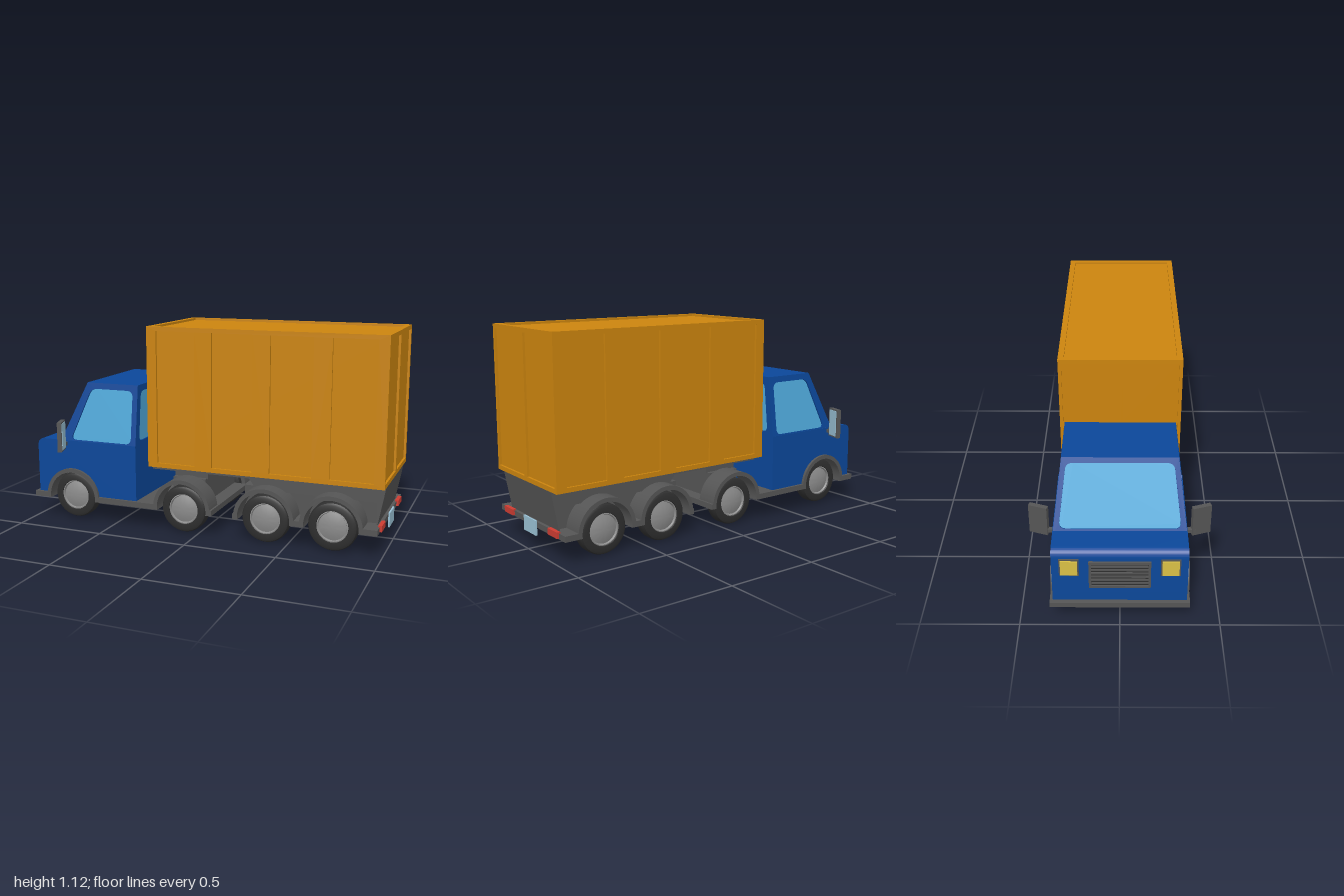
import * as THREE from 'three';
import { toCreasedNormals } from 'three/addons/utils/BufferGeometryUtils.js';

const mat = (name, color) => {
  const m = new THREE.MeshStandardMaterial({ color });
  m.name = name;
  return m;
};
const M = {
  blue: mat('cab blue', 0x0b4799),
  orange: mat('container orange', 0xcb840e),
  glass: mat('window glass', 0x4fa9da),
  grey: mat('chassis grey', 0x555555),
  tyre: mat('tyre black', 0x2e2e2e),
  hub: mat('hub silver', 0x8c8c8c),
  yellow: mat('headlight yellow', 0xd9bf45),
  red: mat('tail light red', 0xcc3c32),
  pale: mat('pale plate', 0x98bfd2),
};
const V = (x, y, z) => new THREE.Vector3(x, y, z);

function add(parent, name, geo, material, x = 0, y = 0, z = 0) {
  const m = new THREE.Mesh(geo, material);
  m.name = name;
  m.position.set(x, y, z);
  parent.add(m);
  return m;
}

// Box given by its min and max corners
function block(parent, name, material, x0, x1, y0, y1, z0, z1) {
  return add(parent, name, new THREE.BoxGeometry(x1 - x0, y1 - y0, z1 - z0), material,
    (x0 + x1) / 2, (y0 + y1) / 2, (z0 + z1) / 2);
}

// Profile in x-y, extruded from z0 to z1
function extrudeZ(parent, name, shape, material, z0, z1) {
  const g = new THREE.ExtrudeGeometry(shape, { depth: z1 - z0, bevelEnabled: false, curveSegments: 24 });
  return add(parent, name, toCreasedNormals(g, 0.5), material, 0, 0, z0);
}

// Closed polygon with rounded corners
function rounded(path, pts, r) {
  pts.forEach((p, i) => {
    const prev = pts[(i + pts.length - 1) % pts.length], next = pts[(i + 1) % pts.length];
    const a = p.clone().add(prev.clone().sub(p).setLength(r));
    const b = p.clone().add(next.clone().sub(p).setLength(r));
    if (i) path.lineTo(a.x, a.y); else path.moveTo(a.x, a.y);
    path.quadraticCurveTo(p.x, p.y, b.x, b.y);
  });
  path.closePath();
  return path;
}

// Flat wall on four corners (counter-clockwise from outside) with recessed openings
function wall(parent, name, corners, openings, depth, r, material, paneMaterial) {
  const [p0, p1, , p3] = corners;
  const u = p1.clone().sub(p0).normalize();
  const n = u.clone().cross(p3.clone().sub(p0)).normalize();
  const v = n.clone().cross(u);
  const flat = (p) => { const d = p.clone().sub(p0); return new THREE.Vector2(d.dot(u), d.dot(v)); };
  const group = new THREE.Group();
  group.name = name;
  group.applyMatrix4(new THREE.Matrix4().makeBasis(u, v, n).setPosition(p0));
  parent.add(group);
  const shape = new THREE.Shape(corners.map(flat));
  openings.forEach((o) => {
    const pts = o.map(flat);
    shape.holes.push(rounded(new THREE.Path(), pts, r));
    if (paneMaterial) {
      add(group, name + 'Pane', new THREE.ShapeGeometry(rounded(new THREE.Shape(), pts, r)), paneMaterial, 0, 0, -depth * 0.6);
    }
  });
  add(group, name + 'Panel', new THREE.ExtrudeGeometry(shape, { depth, bevelEnabled: false, curveSegments: 6 }), material, 0, 0, -depth);
}

// Running board that arches over each wheel
const WY = 0.135;
function fenderShape(x0, x1, wheels) {
  const s = new THREE.Shape();
  const aOut = Math.asin(0.015 / 0.165), aIn = Math.asin(-0.015 / 0.143);
  s.moveTo(x0, 0.12);
  s.lineTo(x0, 0.15);
  wheels.forEach((x) => s.absarc(x, WY, 0.165, Math.PI - aOut, aOut, true));
  s.lineTo(x1, 0.15);
  s.lineTo(x1, 0.12);
  [...wheels].reverse().forEach((x) => s.absarc(x, WY, 0.143, aIn, Math.PI - aIn, false));
  s.closePath();
  return s;
}

function lathe(points) {
  return toCreasedNormals(new THREE.LatheGeometry(points.map(([r, y]) => new THREE.Vector2(r, y)), 40), 0.6);
}

function buildCab(root) {
  const cab = new THREE.Group();
  cab.name = 'cab';
  root.add(cab);

  // Lower body with rounded bonnet and wheel arch
  const s = new THREE.Shape();
  s.moveTo(-0.36, 0.13);
  s.lineTo(-0.36, 0.46);
  s.lineTo(-0.935, 0.46);
  s.quadraticCurveTo(-0.978, 0.46, -0.978, 0.415);
  s.lineTo(-0.978, 0.13);
  s.lineTo(-0.9, 0.13);
  s.absarc(-0.755, WY, 0.145, Math.PI, 0, true);
  s.closePath();
  extrudeZ(cab, 'cabLowerBody', s, M.blue, -0.33, 0.33);

  // Tapered upper body with windows
  const xf = -0.835, xt = -0.67, xr = -0.36, yb = 0.44, yt = 0.79, wb = 0.33, wt = 0.285;
  const half = (y) => wb + (wt - wb) * (y - yb) / (yt - yb);
  const slope = (y) => xf + (xt - xf) * (y - yb) / (yt - yb);
  for (const side of [1, -1]) {
    const order = (a) => (side > 0 ? a : [a[1], a[0], a[3], a[2]]);
    const at = ([x, y]) => V(x, y, side * half(y));
    wall(cab, 'sideWindow', order([[xf, yb], [xr, yb], [xr, yt], [xt, yt]].map(at)),
      [order([[-0.765, 0.466], [-0.39, 0.466], [-0.39, 0.757], [-0.645, 0.757]].map(at))], 0.014, 0.035, M.blue, M.glass);
  }
  wall(cab, 'windscreen', [V(xf, yb, -wb), V(xf, yb, wb), V(xt, yt, wt), V(xt, yt, -wt)],
    [[[0.47, -0.3], [0.47, 0.3], [0.765, 0.263], [0.765, -0.263]].map(([y, z]) => V(slope(y), y, z))], 0.014, 0.035, M.blue, M.glass);
  wall(cab, 'rearWindow', [V(xr, yb, wb), V(xr, yb, -wb), V(xr, yt, -wt), V(xr, yt, wt)],
    [[V(xr, 0.48, 0.28), V(xr, 0.48, -0.28), V(xr, 0.755, -0.25), V(xr, 0.755, 0.25)]], 0.014, 0.035, M.blue, M.glass);
  block(cab, 'roof', M.blue, xt, xr, 0.776, yt, -wt, wt);

  // Grille with slats
  block(cab, 'grilleBack', M.tyre, -0.981, -0.97, 0.24, 0.4, -0.145, 0.145);
  for (const y of [0.24, 0.39]) block(cab, 'grilleFrame', M.grey, -0.99, -0.97, y, y + 0.012, -0.15, 0.15);
  for (const z of [-0.15, 0.138]) block(cab, 'grilleFrame', M.grey, -0.99, -0.97, 0.24, 0.402, z, z + 0.012);
  for (let i = 0; i < 6; i++) block(cab, 'grilleSlat', M.grey, -0.986, -0.97, 0.262 + i * 0.021, 0.272 + i * 0.021, -0.14, 0.14);

  for (const side of [1, -1]) {
    // Headlights in their surrounds
    add(cab, 'headlightSurround', new THREE.BoxGeometry(0.016, 0.1, 0.096), M.grey, -0.977, 0.365, side * 0.245);
    add(cab, 'headlight', new THREE.BoxGeometry(0.02, 0.086, 0.082), M.yellow, -0.982, 0.365, side * 0.245);
    // Door mirrors
    const mirror = new THREE.Group();
    mirror.name = 'mirror';
    mirror.position.set(-0.782, 0.5, side * 0.397);
    mirror.rotation.y = side * 0.32;
    cab.add(mirror);
    add(mirror, 'mirrorHousing', new THREE.BoxGeometry(0.024, 0.165, 0.096), M.grey);
    add(mirror, 'mirrorGlass', new THREE.BoxGeometry(0.005, 0.148, 0.076), M.pale, 0.0125, 0, 0);
    block(cab, 'mirrorArm', M.grey, -0.805, -0.785, 0.432, 0.452, side > 0 ? 0.32 : -0.37, side > 0 ? 0.37 : -0.32);
  }
}

function buildContainer(root) {
  const box = new THREE.Group();
  box.name = 'container';
  root.add(box);
  const x0 = -0.29, x1 = 1, y0 = 0.352, y1 = 1.115, w = 0.315, d = 0.012;
  block(box, 'containerCore', M.orange, x0 + d, x1 - d, y0, y1 - d, -w + d, w - d);
  const bays = [[-0.235, -0.015], [0.08, 0.305], [0.4, 0.625], [0.72, 0.945]];
  const a = 0.376, b = 1.092;
  for (const s of [1, -1]) {
    // Long sides, four bays each
    const L = (l, r, lo, hi) => {
      const q = [V(l, lo, s * w), V(r, lo, s * w), V(r, hi, s * w), V(l, hi, s * w)];
      return s > 0 ? q : [q[1], q[0], q[3], q[2]];
    };
    wall(box, 'containerSide', L(x0, x1, y0, y1), bays.map(([l, r]) => L(l, r, a, b)), d, 0.001, M.orange);
    // Ends, two bays each
    const x = s > 0 ? x1 : x0;
    const E = (l, r, lo, hi) => [V(x, lo, -s * l), V(x, lo, -s * r), V(x, hi, -s * r), V(x, hi, -s * l)];
    wall(box, 'containerEnd', E(-w, w, y0, y1), [E(-0.298, -0.016, a, b), E(0.016, 0.298, a, b)], d, 0.001, M.orange);
  }
  // Top rim
  const T = (l, r, h) => [V(l, y1, h), V(r, y1, h), V(r, y1, -h), V(l, y1, -h)];
  wall(box, 'containerTop', T(x0, x1, w), [T(x0 + 0.03, x1 - 0.03, w - 0.03)], d, 0.001, M.orange);
}

function buildChassis(root) {
  const ch = new THREE.Group();
  ch.name = 'chassis';
  root.add(ch);
  const front = fenderShape(-1, 0.09, [-0.755, -0.085]), rear = fenderShape(0.21, 0.975, [0.38, 0.74]);
  for (const [z0, z1] of [[0.225, 0.345], [-0.345, -0.225]]) {
    extrudeZ(ch, 'frontFender', front, M.grey, z0, z1);
    extrudeZ(ch, 'rearFender', rear, M.grey, z0, z1);
  }
  // Tractor floor, wheel housings and coupling
  block(ch, 'tractorFloor', M.grey, -1, 0.09, 0.12, 0.15, -0.226, 0.226);
  block(ch, 'frontBumper', M.grey, -1, -0.965, 0.12, 0.15, -0.345, 0.345);
  block(ch, 'frontWheelHousing', M.grey, -0.91, -0.6, 0.14, 0.29, -0.226, 0.226);
  block(ch, 'driveWheelHousing', M.grey, -0.18, 0.01, 0.14, 0.285, -0.226, 0.226);
  block(ch, 'coupling', M.grey, -0.18, 0.015, 0.28, 0.33, -0.2, 0.2);

  // Trailer bed with sloped ends
  const s = new THREE.Shape([[-0.29, 0.352], [-0.29, 0.325], [0.27, 0.325], [0.315, 0.268], [0.955, 0.268], [0.955, 0.15],
    [0.96, 0.15], [0.998, 0.352]].map(([x, y]) => new THREE.Vector2(x, y)));
  extrudeZ(ch, 'trailerBed', s, M.grey, -0.255, 0.255);
  block(ch, 'trailerBelly', M.grey, 0.24, 0.957, 0.12, 0.28, -0.226, 0.226);
  block(ch, 'rearBumper', M.grey, 0.93, 0.977, 0.12, 0.15, -0.345, 0.345);
  for (const z of [0.238, -0.238]) add(ch, 'tailLight', new THREE.BoxGeometry(0.02, 0.032, 0.094), M.red, 0.979, 0.141, z);
  add(ch, 'rearPlate', new THREE.BoxGeometry(0.009, 0.078, 0.128), M.pale, 0.984, 0.121, 0);
}

function buildWheels(root) {
  const tyre = lathe([[0.085, -0.04], [0.112, -0.04], [0.124, -0.034], [0.13, -0.022], [0.13, 0.022], [0.124, 0.034],
    [0.112, 0.04], [0.085, 0.04], [0.082, 0.03]]);
  const hub = lathe([[0.086, -0.02], [0.086, 0.034], [0.078, 0.036], [0.074, 0.026], [0.05, 0.034], [0.025, 0.038], [0, 0.039]]);
  const back = new THREE.CylinderGeometry(0.086, 0.086, 0.02, 32);
  for (const x of [-0.755, -0.085, 0.38, 0.74]) {
    const axle = new THREE.Group();
    axle.name = 'axle';
    axle.position.set(x, x < -0.5 ? 0.14 : 0.13, 0);
    root.add(axle);
    for (const side of [1, -1]) {
      const wheel = new THREE.Group();
      wheel.name = 'wheel';
      wheel.position.z = side * 0.273;
      wheel.rotation.x = side * Math.PI / 2;
      axle.add(wheel);
      add(wheel, 'tyre', tyre, M.tyre);
      add(wheel, 'hub', hub, M.hub);
      add(wheel, 'innerDisc', back, M.tyre, 0, -0.028, 0);
    }
    // Axle tube and differential housing
    add(axle, 'axleTube', new THREE.CylinderGeometry(0.03, 0.03, 0.5, 20), M.tyre).rotation.x = Math.PI / 2;
    add(axle, 'differential', new THREE.CylinderGeometry(0.045, 0.045, 0.17, 24), M.tyre).rotation.x = Math.PI / 2;
  }
}

export function createModel() {
  const root = new THREE.Group();
  root.name = 'containerTruck';
  buildCab(root);
  buildContainer(root);
  buildChassis(root);
  buildWheels(root);
  return root;
}
